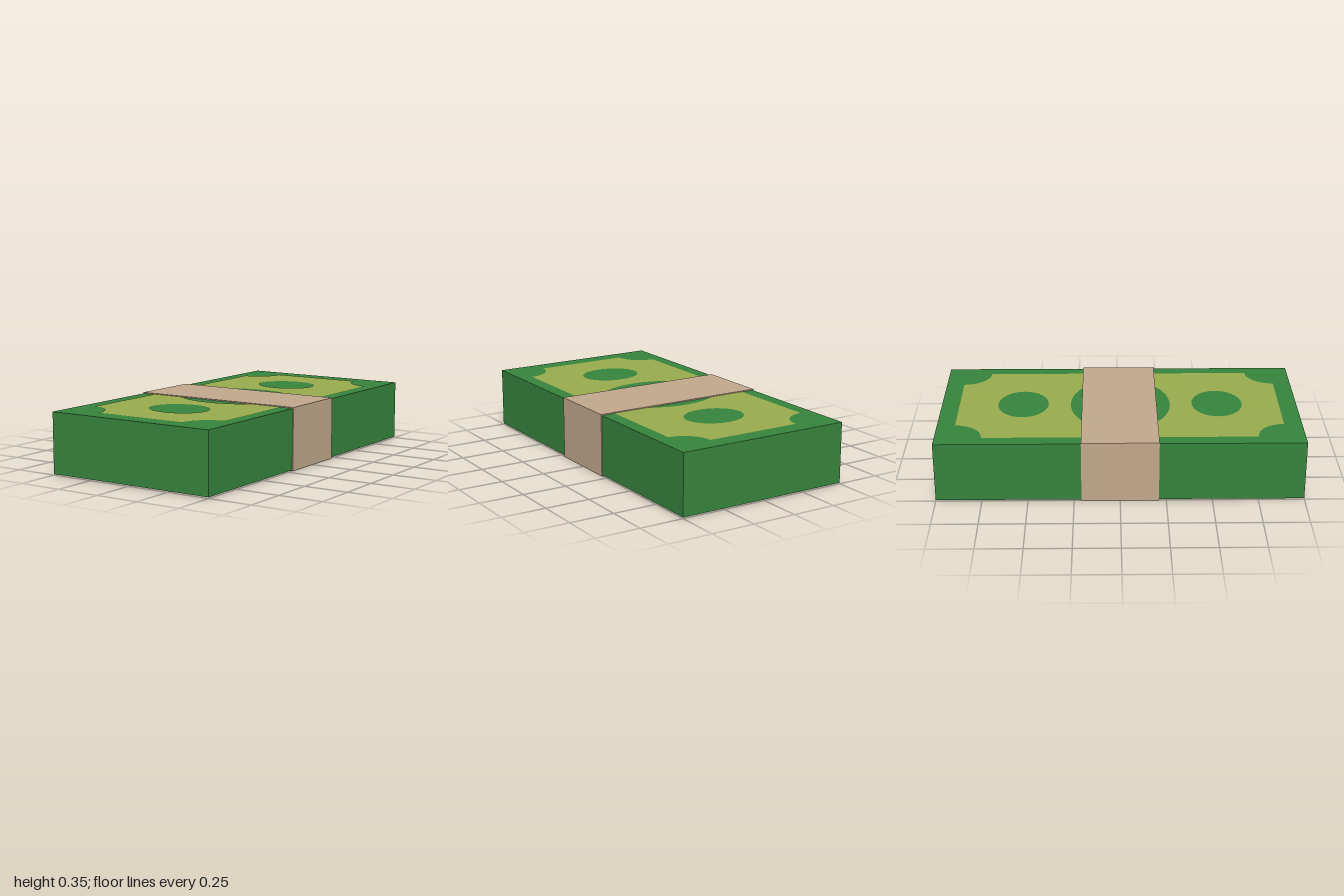
import * as THREE from 'three';

export function createModel() {
  const green = new THREE.MeshStandardMaterial({ color: 0x36833c });
  green.name = 'note green';
  const olive = new THREE.MeshStandardMaterial({ color: 0x97aa4c });
  olive.name = 'print olive';
  const tan = new THREE.MeshStandardMaterial({ color: 0xc0a78a });
  tan.name = 'paper tan';

  const model = new THREE.Group();
  model.name = 'banknoteBundle';
  const add = (name, geometry, material, y) => {
    const mesh = new THREE.Mesh(geometry, material);
    mesh.name = name;
    mesh.position.y = y;
    model.add(mesh);
  };

  const height = 0.348, mid = height / 2, stackHeight = 0.336;

  // Stack of notes and the paper band around its middle
  add('noteStack', new THREE.BoxGeometry(1, stackHeight, 2), green, mid);
  add('paperBand', new THREE.BoxGeometry(1.01, height, 0.42), tan, mid);

  // Printed panel: rectangle with scooped corners, and ovals cut out of it
  const w = 0.424, l = 0.9, r = 0.153, q = Math.PI / 2;
  const panel = new THREE.Shape();
  panel.moveTo(w, -l + r);
  panel.lineTo(w, l - r);
  panel.absarc(w, l, r, -q, -2 * q, true);
  panel.lineTo(-w + r, l);
  panel.absarc(-w, l, r, 0, -q, true);
  panel.lineTo(-w, -l + r);
  panel.absarc(-w, -l, r, q, 0, true);
  panel.lineTo(w - r, -l);
  panel.absarc(w, -l, r, 2 * q, q, true);

  const ovals = [[0.54, 0.17, 0.142], [-0.006, 0.34, 0.28], [-0.55, 0.17, 0.142]];
  for (const [y, rx, ry] of ovals) {
    const hole = new THREE.Path();
    hole.absellipse(0, y, rx, ry, 0, Math.PI * 2, true);
    panel.holes.push(hole);
  }

  // The same print on the top and the bottom note
  for (const [name, side] of [['topPrint', 1], ['bottomPrint', -1]]) {
    const print = new THREE.ShapeGeometry(panel, 16).rotateX(-side * q);
    add(name, print, olive, mid + side * (stackHeight / 2 + 0.0015));
  }
  return model;
}
